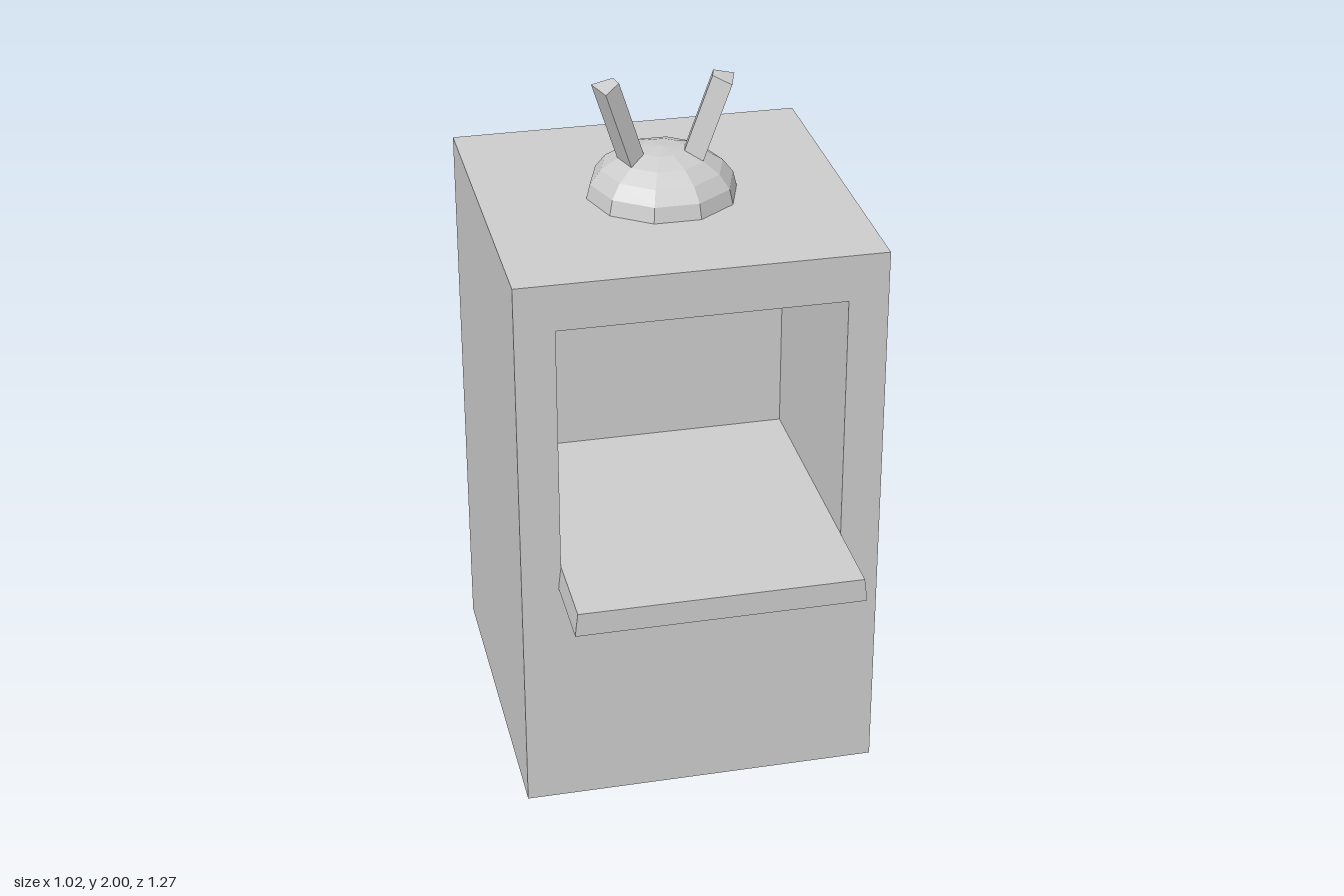
import * as THREE from 'three';
import { ConvexGeometry } from 'three/addons/geometries/ConvexGeometry.js';

const material = new THREE.MeshStandardMaterial({ color: 0xcccccc, flatShading: true });

const W = 0.512, H = 1.64;                          // cabinet half width and height
const FRONT = 0.39, RECESS = -0.29, BACK = -0.635;  // depth planes
const SILL = 0.775, LINTEL = 1.505;                 // opening heights

function shapeOf(points) {
  return new THREE.Shape(points.map(([x, y]) => new THREE.Vector2(x, y)));
}

function extrude(shape, z0, z1) {
  return new THREE.ExtrudeGeometry(shape, { depth: z1 - z0, bevelEnabled: false }).translate(0, 0, z0);
}

export function createModel() {
  const group = new THREE.Group();
  const add = (name, geometry) => {
    const mesh = new THREE.Mesh(geometry, material);
    mesh.name = name;
    group.add(mesh);
    return mesh;
  };

  // Cabinet front section with the square opening
  const face = shapeOf([[-W, 0], [W, 0], [W, H], [-W, H]]);
  face.holes.push(shapeOf([[-0.4, SILL], [-0.4, LINTEL], [0.4, LINTEL], [0.4, SILL]]));
  add('cabinetFrame', extrude(face, RECESS, FRONT));

  // Solid rear section, closing the recess
  add('cabinetBack', new THREE.BoxGeometry(2 * W, H, RECESS - BACK)
    .translate(0, H / 2, (RECESS + BACK) / 2));

  // Shelf flush with the recess floor, slightly wider at the bottom
  const slab = shapeOf([[-0.408, 0.705], [0.408, 0.705], [0.405, 0.735], [0.4, SILL], [-0.4, SILL], [-0.405, 0.735]]);
  add('shelf', extrude(slab, FRONT, 0.635));

  // Ten-sided flattened dome
  add('dome', new THREE.SphereGeometry(0.215, 10, 5, 0, Math.PI * 2, 0, Math.PI / 2)
    .scale(1, 0.14 / 0.215, 1)).position.set(0, H, -0.125);

  // Two splayed antennas: a four-cornered bar leaning outward and forward
  const tip = [[0.14, 2.0, -0.105], [0.2, 1.985, -0.107], [0.175, 1.982, -0.028], [0.13, 1.997, -0.07]];
  for (const [side, name] of [[1, 'leftAntenna'], [-1, 'rightAntenna']]) {
    const points = tip.flatMap(([x, y, z]) => [
      new THREE.Vector3(side * x, y, z),
      new THREE.Vector3(side * (x - 0.092), y - 0.285, z - 0.03),
    ]);
    add(name, new ConvexGeometry(points));
  }

  return group;
}
